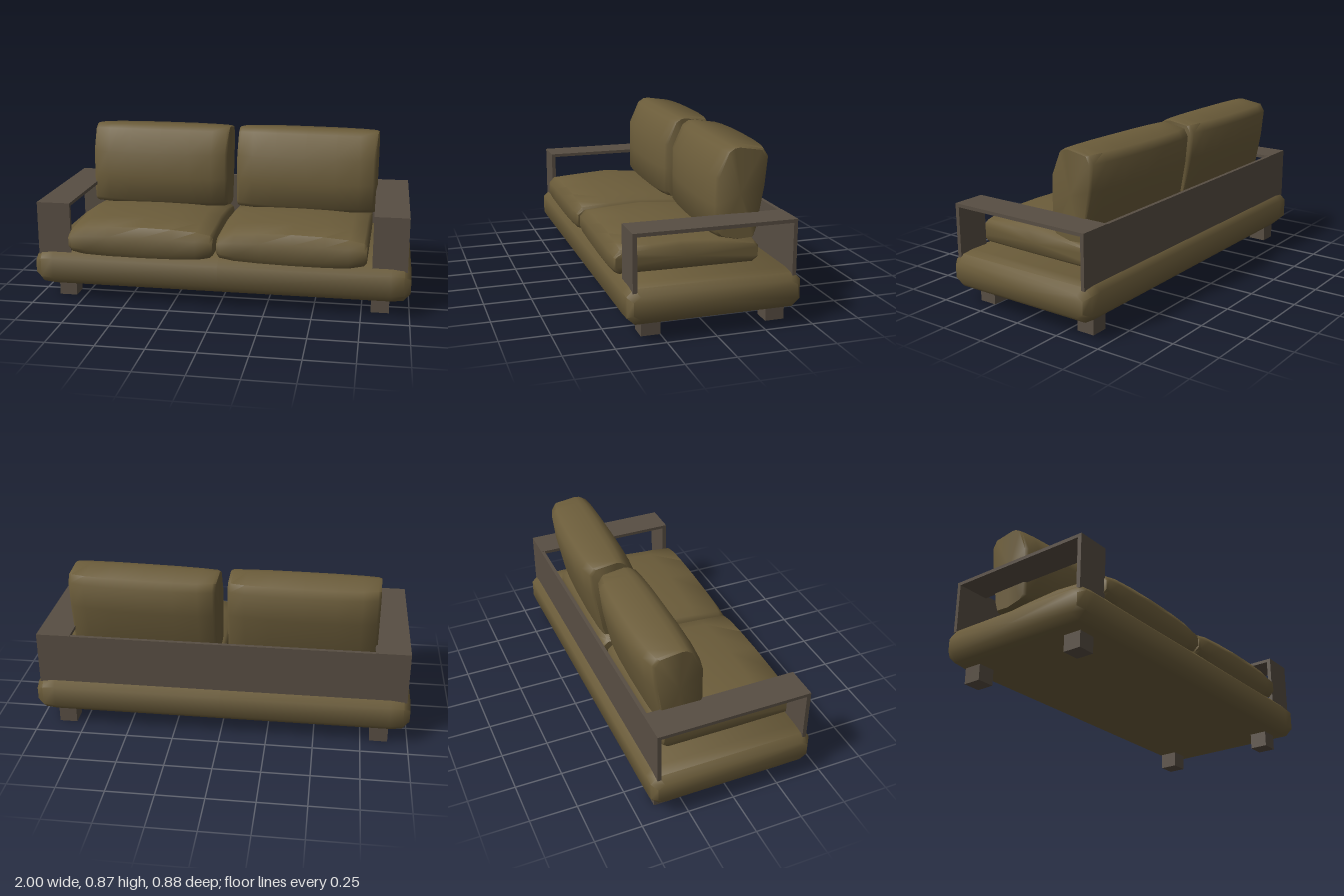
import * as THREE from 'three';
import { toCreasedNormals } from 'three/addons/utils/BufferGeometryUtils.js';

const fabric = new THREE.MeshStandardMaterial({ color: 0x6b5c3a });
const frame = new THREE.MeshStandardMaterial({ color: 0x584e43 });

// Lofts a closed [z, y] profile along x; each station is [x, zScale, yScale] about the pivot.
function loft(profile, stations, [pz, py], crease) {
  const n = profile.length, pos = [], idx = [];
  for (const [x, sz, sy] of stations)
    for (const [z, y] of profile) pos.push(x, py + (y - py) * sy, pz + (z - pz) * sz);
  for (let i = 0; i < stations.length - 1; i++)
    for (let j = 0; j < n; j++) {
      const a = i * n + j, b = i * n + (j + 1) % n;
      idx.push(a, b, a + n, b, b + n, a + n);
    }
  // end caps
  const last = (stations.length - 1) * n, c = stations.length * n;
  pos.push(stations[0][0], py, pz, stations[stations.length - 1][0], py, pz);
  for (let j = 0; j < n; j++) {
    const k = (j + 1) % n;
    idx.push(c, k, j, c + 1, last + j, last + k);
  }
  const g = new THREE.BufferGeometry();
  g.setAttribute('position', new THREE.Float32BufferAttribute(pos, 3));
  g.setIndex(idx);
  return toCreasedNormals(g, crease);
}

// Mirrors half a station list (from the end to the middle) to the other end.
const mirrored = (half) => [...half, ...half.slice(0, -1).reverse().map(([x, a, b]) => [-x, a, b])];

export function createModel() {
  const model = new THREE.Group();

  const add = (name, geometry, material, x = 0, y = 0, z = 0, turn = 0) => {
    const mesh = new THREE.Mesh(geometry, material);
    mesh.name = name;
    mesh.position.set(x, y, z);
    mesh.rotation.y = turn;
    model.add(mesh);
  };
  const box = (name, x0, x1, y0, y1, z0, z1) =>
    add(name, new THREE.BoxGeometry(x1 - x0, y1 - y0, z1 - z0), frame,
      (x0 + x1) / 2, (y0 + y1) / 2, (z0 + z1) / 2);

  // Upholstered base with softened edges
  const baseProfile = [[-0.4, 0.275], [0.4, 0.275], [0.437, 0.235], [0.437, 0.125],
    [0.397, 0.085], [-0.4, 0.085], [-0.44, 0.125], [-0.44, 0.235]];
  const baseStations = [[-1, 0.94, 0.6], [-0.965, 1, 0.92], [-0.9, 1, 1], [0, 1, 1]];
  add('base', loft(baseProfile, mirrored(baseStations), [0, 0.18], 0.9), fabric);

  // Back panel across the full width
  box('backPanel', -0.98, 0.98, 0.255, 0.535, -0.41, -0.39);

  // Arms and feet on both sides
  for (const [side, s] of [['left', 1], ['right', -1]]) {
    const [x0, x1] = s > 0 ? [0.8, 0.98] : [-0.98, -0.8];
    box(side + 'ArmFront', x0, x1, 0.25, 0.52, 0.388, 0.41);
    box(side + 'ArmTop', x0, x1, 0.519, 0.537, -0.41, 0.41);
    const [f0, f1] = s > 0 ? [0.8, 0.895] : [-0.895, -0.8];
    box(side + 'FrontFoot', f0, f1, 0, 0.1, 0.25, 0.347);
    box(side + 'BackFoot', f0, f1, 0, 0.1, -0.393, -0.295);
  }

  // Seat cushions, crowned in the middle
  const seatProfile = [[-0.285, 0.405], [-0.1, 0.432], [0.1, 0.45], [0.25, 0.437], [0.405, 0.42],
    [0.436, 0.37], [0.436, 0.285], [0.41, 0.245], [0.1, 0.24], [-0.28, 0.245], [-0.31, 0.28], [-0.31, 0.365]];
  const seatStations = [[-0.39, 0.975, 0.52], [-0.375, 0.99, 0.68], [-0.3, 1, 0.85], [-0.17, 1, 0.96], [0, 1, 1]];
  const seat = loft(seatProfile, mirrored(seatStations), [0.06, 0.335], 0.9);
  add('rightSeatCushion', seat, fabric, -0.418);
  add('leftSeatCushion', seat, fabric, 0.39, 0, 0, -0.02);

  // Leaning back cushions, slightly turned as if placed by hand
  const backProfile = [[-0.18, 0.66], [-0.155, 0.85], [0.0, 0.868], [0.035, 0.865], [0.075, 0.845],
    [0.145, 0.72], [0.148, 0.58], [0.148, 0.445], [0.12, 0.42], [0, 0.4], [-0.1, 0.405], [-0.12, 0.45]];
  backProfile[0] = [-0.185, 0.81];
  backProfile.push([-0.168, 0.67]);
  const backStations = [[-0.39, 0.72, 0.97], [-0.375, 0.8, 0.99], [-0.3, 0.91, 0.995], [-0.17, 0.98, 1], [0, 1, 1]];
  const back = loft(backProfile, mirrored(backStations), [-0.01, 0.635], 0.9);
  add('rightBackCushion', back, fabric, -0.422, 0, -0.205, -0.02);
  add('leftBackCushion', back, fabric, 0.413, 0, -0.197, -0.05);

  return model;
}
